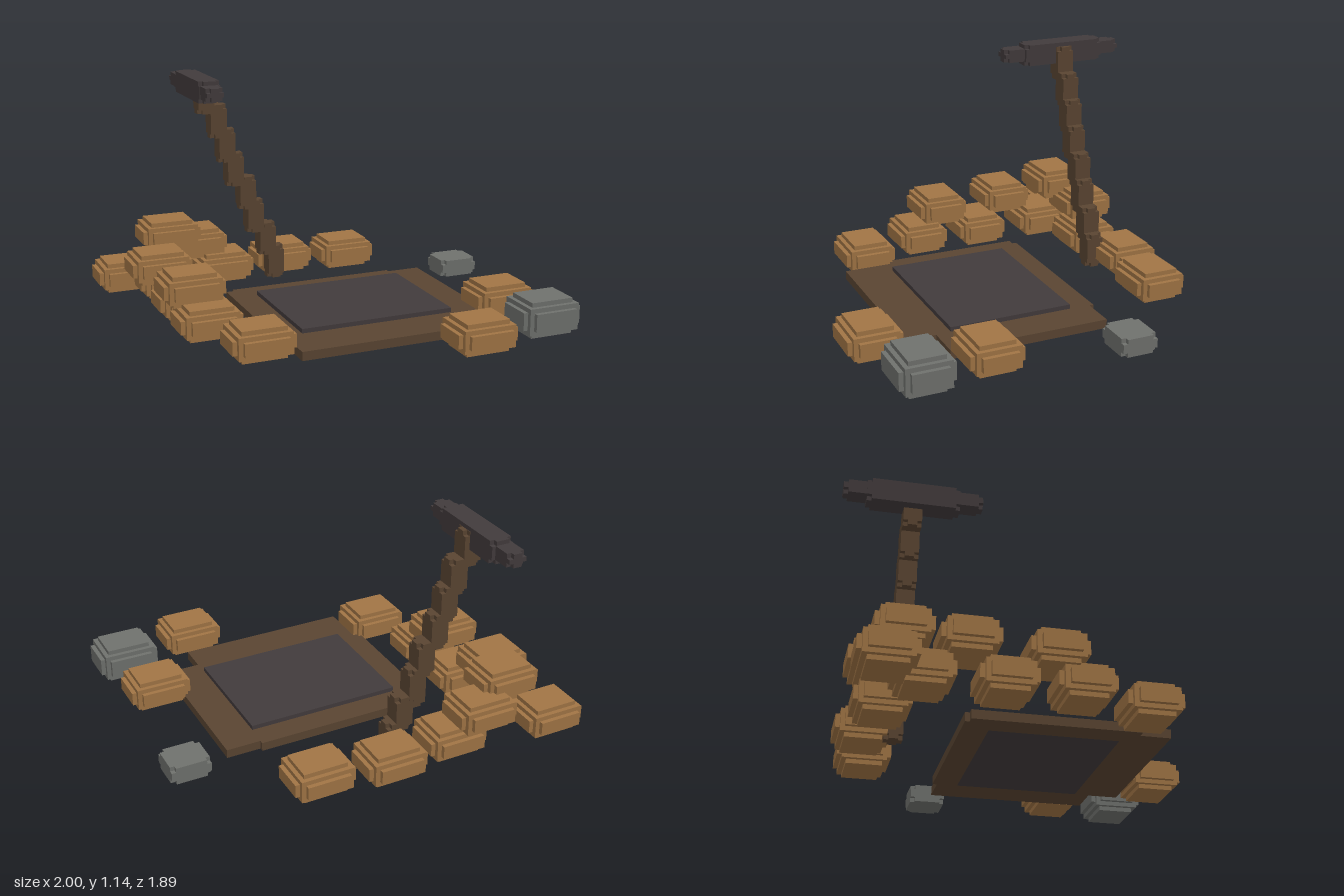
import * as THREE from 'three';
import { mergeGeometries } from 'three/addons/utils/BufferGeometryUtils.js';

const V = 2 / 90; // block unit

const makeMaterial = (name, color) => {
  const m = new THREE.MeshStandardMaterial({ color });
  m.name = name;
  return m;
};

// Overlapping boxes, sized in block units and centred on the origin
const blocks = (sizes) =>
  mergeGeometries(sizes.map(([x, y, z]) => new THREE.BoxGeometry(x * V, y * V, z * V)));

// Block with strongly stepped, pillow-like edges
const pillowBlock = (x, y, z) =>
  blocks([[x, y - 4, z - 4], [x - 4, y, z - 4], [x - 4, y - 4, z], [x - 2, y - 2, z - 2]]);

// Block with only its eight corners nicked
const nickedBlock = (x, y, z) => blocks([[x - 2, y, z], [x, y - 2, z], [x, y, z - 2]]);

export function createModel() {
  const model = new THREE.Group();
  const tan = makeMaterial('sackTan', 0xa17545);
  const brown = makeMaterial('woodBrown', 0x5a4532);
  const dark = makeMaterial('darkIron', 0x423b3c);
  const grey = makeMaterial('stoneGrey', 0x6f716d);

  const add = (name, geometry, material, x, y, z, parent = model) => {
    const mesh = new THREE.Mesh(geometry, material);
    mesh.name = name;
    mesh.position.set(x, y, z);
    parent.add(mesh);
    return mesh;
  };

  // Sandbag wall: x, z, stacking level
  const sacks = new THREE.Group();
  sacks.name = 'sandbags';
  model.add(sacks);
  const sackGeometry = pillowBlock(14, 7, 12);
  [
    [-0.845, -0.75, 0], [-0.315, -0.705, 0], [0.043, -0.75, 0], [0.4, -0.705, 0],
    [-0.67, -0.57, 0], [-0.67, -0.205, 0], [-0.67, 0.143, 0], [-0.535, 0.495, 0],
    [0.797, 0.365, 0], [0.444, 0.81, 0],
    [-0.45, -0.75, 1], [-0.755, -0.39, 1], [-0.71, 0.01, 1],
    [-0.625, -0.66, 2],
  ].forEach(([x, z, level]) =>
    add('sandbag', sackGeometry, tan, x, 3.5 * V + [0, 0.134, 0.222][level], z, sacks));

  // Loose stones
  add('largeStone', pillowBlock(14, 8, 12), grey, 0.845, 4 * V, 0.715);
  add('smallStone', nickedBlock(9, 4, 8), grey, 0.9, 2 * V, -0.307);

  // Stepped ground frame around the pit (shape y is -z)
  const frame = new THREE.Shape([
    [-0.42, 0.305], [-0.38, 0.305], [-0.38, 0.327], [0.51, 0.327], [0.51, 0.305], [0.685, 0.305],
    [0.685, -0.5], [0.51, -0.5], [0.51, -0.65], [-0.38, -0.65], [-0.38, -0.5], [-0.42, -0.5],
  ].map(([x, y]) => new THREE.Vector2(x, y)));
  frame.holes.push(new THREE.Path([
    [-0.29, 0.2], [-0.29, -0.425], [0.505, -0.425], [0.505, 0.2],
  ].map(([x, y]) => new THREE.Vector2(x, y))));
  const frameGeometry = new THREE.ExtrudeGeometry(frame, { depth: 2 * V, bevelEnabled: false });
  frameGeometry.rotateX(-Math.PI / 2);
  add('groundFrame', frameGeometry, brown, 0, 0, 0);
  add('pitSlab', new THREE.BoxGeometry(0.795, 3 * V, 0.625), dark, 0.1075, 1.5 * V, 0.1125);

  // Leaning tool handle, stepped one segment at a time
  const handle = new THREE.Group();
  handle.name = 'toolHandle';
  model.add(handle);
  const segment = nickedBlock(4, 8, 4);
  [-0.044, -0.09, -0.157, -0.2, -0.267, -0.312, -0.357, -0.423].forEach((x, i) =>
    add('handleSegment', segment, brown, x, 0.092 + i * 6 * V, -0.61, handle));

  // Tool head with narrower ends
  const head = new THREE.Group();
  head.name = 'toolHead';
  model.add(head);
  add('headBlock', nickedBlock(5, 5, 20), dark, -0.459, 1.08, -0.612, head);
  for (const side of [-1, 1]) {
    add('headTip', nickedBlock(4, 3, 6), dark, -0.466, 1.082, -0.612 + side * 0.266, head);
  }
  return model;
}
